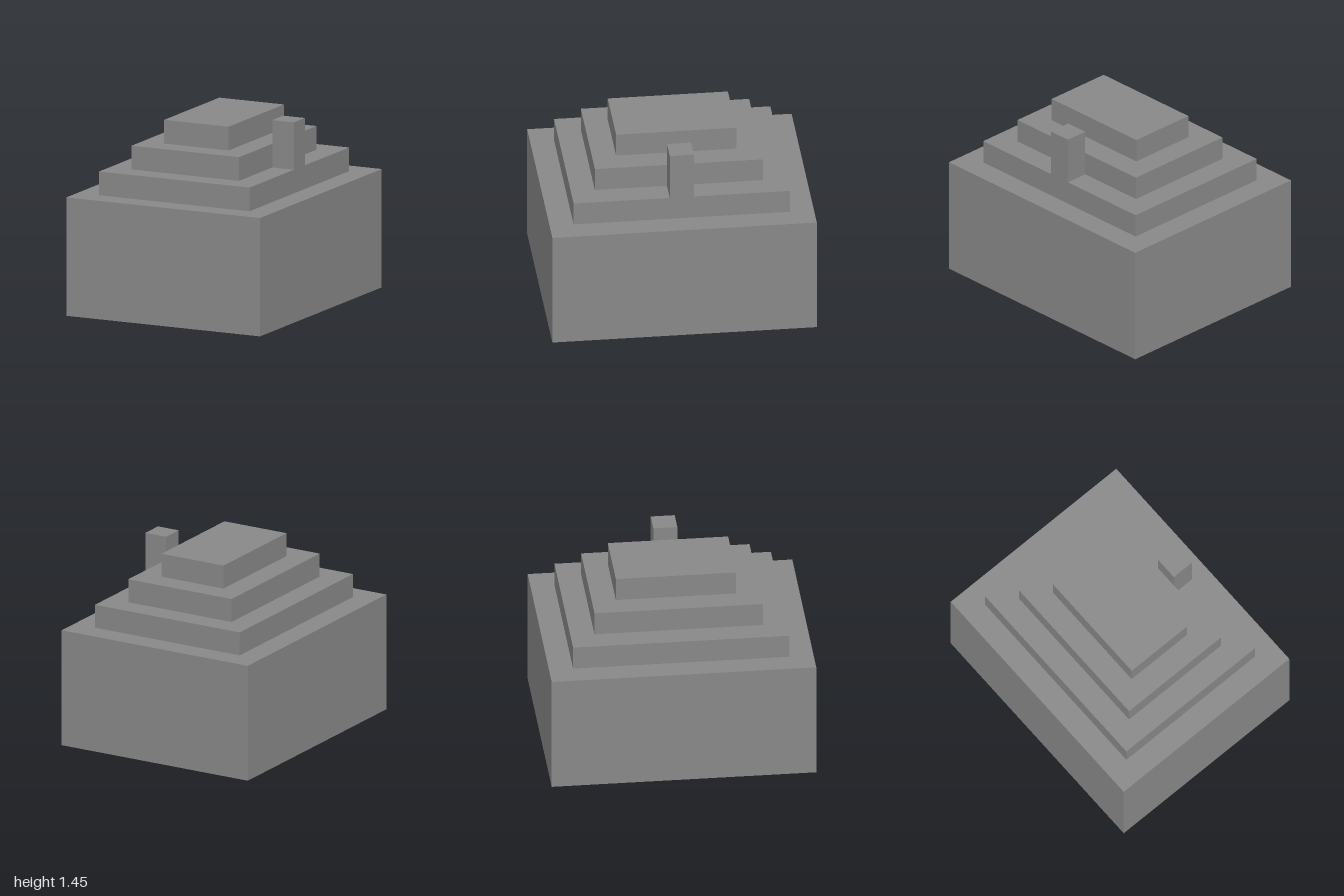
import * as THREE from 'three';

const U = 2 / 11; // one block of the stepped building

export function createModel() {
  const model = new THREE.Group();
  model.name = 'steppedHouse';
  const stone = new THREE.MeshStandardMaterial({ color: 0x888888 });
  stone.name = 'grey';

  // Box sized in blocks, standing at height y
  function addBlock(name, width, height, depth, y, x = 0) {
    const geometry = new THREE.BoxGeometry(width * U, height * U, depth * U);
    const mesh = new THREE.Mesh(geometry, stone);
    mesh.name = name;
    mesh.position.set(x * U, (y + height / 2) * U, 0);
    model.add(mesh);
  }

  // Main walls
  addBlock('walls', 9, 5, 11, 0);

  // Stepped roof, each tier one block in from the tier below
  for (let i = 0; i < 3; i++) {
    addBlock(`roofTier${i + 1}`, 7 - 2 * i, 1, 9 - 2 * i, 5 + i);
  }

  // Chimney flush with the edge of the lowest roof tier
  addBlock('chimney', 1, 2, 1, 6, 3);

  return model;
}
